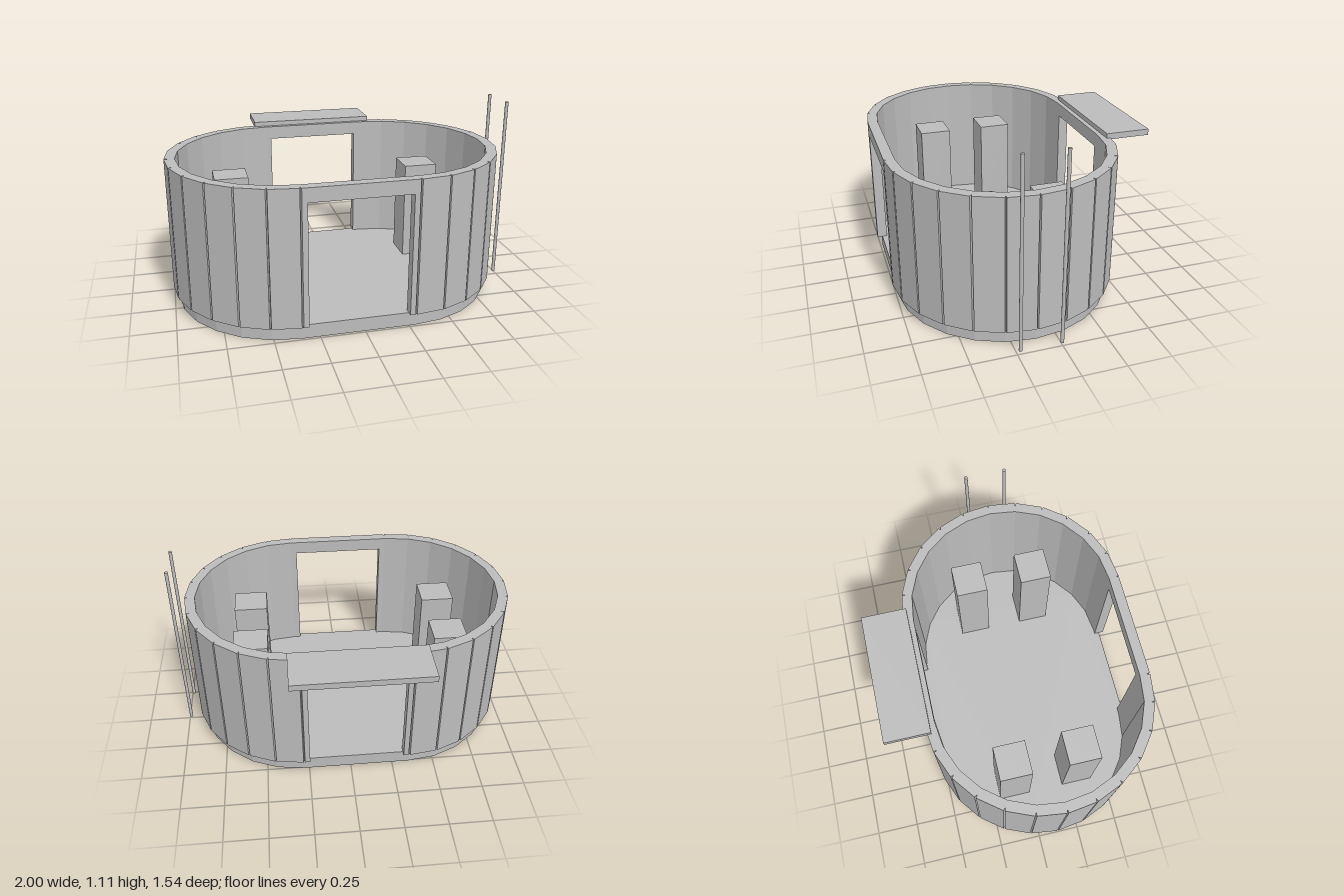
import * as THREE from 'three';

const CX = -0.035, CZ = 0.115;   // centre of the room
const HALF = 0.315;              // half length of the straight sides
const DOOR = 0.28;               // half width of the doorways
const R_OUT = 0.652, R_IN = 0.592, R_BASE = 0.622;
const FLOOR = 0.08, TOP = 0.86, DOOR_TOP = 0.78;
const SEGS = 12;

export function createModel() {
  const group = new THREE.Group();
  const grey = new THREE.MeshStandardMaterial({ color: 0xbcbcbc });
  grey.name = 'plain grey';

  const add = (name, geometry, x, y, z) => {
    const mesh = new THREE.Mesh(geometry, grey);
    mesh.name = name;
    mesh.position.set(x, y, z);
    group.add(mesh);
    return mesh;
  };
  // Extrudes a plan outline upwards
  const rise = (points, height) => new THREE.ExtrudeGeometry(
    new THREE.Shape(points), { depth: height, bevelEnabled: false }).rotateX(-Math.PI / 2);
  // Point on the rounded end, angle 0 at one straight side and PI at the other
  const onEnd = (r, a) => new THREE.Vector2(HALF + r * Math.sin(a), -r * Math.cos(a));

  // Floor slab with two rounded ends
  const half = [];
  for (let i = 0; i <= SEGS; i++) half.push(onEnd(R_BASE, i * Math.PI / SEGS));
  const slab = [...half, ...half.map((p) => p.clone().negate())];
  add('floorSlab', rise(slab, FLOOR), CX, 0, CZ);

  // Curved wall with a narrow groove at every panel joint
  const wall = [new THREE.Vector2(DOOR, -R_OUT)];
  const gap = 0.007;
  for (let i = 0; i <= SEGS; i++) {
    const a = i * Math.PI / SEGS;
    wall.push(onEnd(R_OUT, a - gap), onEnd(R_OUT - 0.02, a), onEnd(R_OUT, a + gap));
  }
  wall.push(new THREE.Vector2(DOOR, R_OUT), new THREE.Vector2(DOOR, R_IN));
  for (let i = SEGS; i >= 0; i--) wall.push(onEnd(R_IN, i * Math.PI / SEGS));
  wall.push(new THREE.Vector2(DOOR, -R_IN));
  const wallGeometry = rise(wall, TOP - FLOOR);
  add('leftWall', wallGeometry, CX, FLOOR, CZ);
  add('rightWall', wallGeometry, CX, FLOOR, CZ).rotation.y = Math.PI;

  // Lintels over the front and back doorways
  const lintel = new THREE.BoxGeometry(2 * DOOR, TOP - DOOR_TOP, R_OUT - R_IN);
  for (const s of [1, -1]) {
    add(s > 0 ? 'frontLintel' : 'backLintel', lintel,
      CX, (TOP + DOOR_TOP) / 2, CZ + s * (R_OUT + R_IN) / 2);
  }

  // Canopy over the back doorway
  add('canopy', new THREE.BoxGeometry(0.762, 0.036, 0.264), CX, 0.87, -0.638);

  // Four pedestals standing on the floor
  const pedestal = new THREE.BoxGeometry(0.2, 0.6, 0.19);
  for (const sx of [-1, 1]) for (const sz of [-1, 1]) {
    add('pedestal', pedestal, CX + sx * 0.59, FLOOR + 0.3, CZ - 0.007 + sz * 0.203);
  }

  // Two thin poles outside
  const pole = new THREE.CylinderGeometry(0.01, 0.01, 1.095, 12);
  for (const z of [0, 0.23]) add('pole', pole, 0.989, 0.5625, z);

  return group;
}
